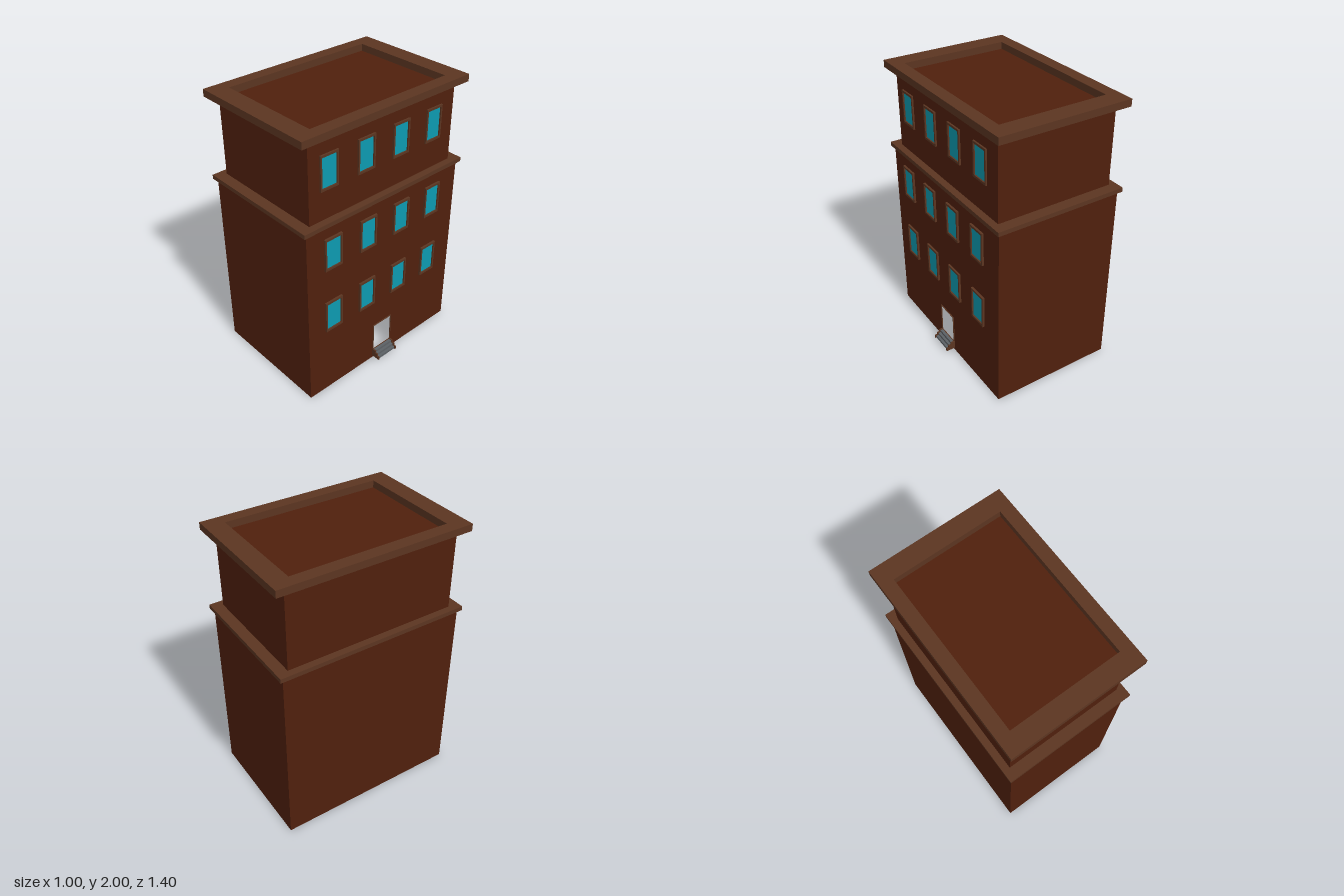
import * as THREE from 'three';

const mat = (name, color) => {
  const m = new THREE.MeshStandardMaterial({ color, side: THREE.DoubleSide });
  m.name = name;
  return m;
};

// Rectangle outline with an optional rectangular hole, each given as [u0, v0, u1, v1]
function rectShape(outer, hole) {
  const trace = (p, [a, b, c, d]) => p.moveTo(a, b).lineTo(c, b).lineTo(c, d).lineTo(a, d).closePath();
  const shape = trace(new THREE.Shape(), outer);
  if (hole) shape.holes.push(trace(new THREE.Path(), hole));
  return shape;
}
const extrude = (shape, depth) => new THREE.ExtrudeGeometry(shape, { depth, bevelEnabled: false });

export function createModel() {
  const group = new THREE.Group();
  const brick = mat('brick brown', 0x50200d);
  const trim = mat('trim brown', 0x5b3521);
  const glass = mat('window blue', 0x0d9ab0);
  const stone = mat('step grey', 0x5c6165);

  const add = (name, geo, material, x = 0, y = 0, z = 0, parent = group) => {
    const mesh = new THREE.Mesh(geo, material);
    mesh.name = name;
    mesh.position.set(x, y, z);
    parent.add(mesh);
    return mesh;
  };

  // Hollow storey without floor: four walls, the right one with an optional doorway
  function storey(name, x0, x1, hz, y0, y1, door) {
    const g = new THREE.Group();
    g.name = name;
    group.add(g);
    const w = x1 - x0, h = y1 - y0, cx = (x0 + x1) / 2, cy = (y0 + y1) / 2;
    add('frontWall', new THREE.PlaneGeometry(w, h), brick, cx, cy, hz, g);
    add('backWall', new THREE.PlaneGeometry(w, h).rotateY(Math.PI), brick, cx, cy, -hz, g);
    add('leftSideWall', new THREE.PlaneGeometry(2 * hz, h).rotateY(-Math.PI / 2), brick, x0, cy, 0, g);
    const wall = new THREE.ShapeGeometry(rectShape([-hz, y0, hz, y1], door));
    add('facadeWall', wall.rotateY(Math.PI / 2), brick, x1, 0, 0, g);
  }
  const doorway = [-0.083, 0.08, 0.083, 0.305];
  storey('lowerStoreys', -0.48, 0.43, 0.675, 0, 1.37, doorway);
  storey('upperStorey', -0.45, 0.40, 0.622, 1.37, 1.96);

  // Ledge, cornice and sunken roof
  const band = (name, inner, y0, y1) =>
    add(name, extrude(rectShape([-0.5, -0.7, 0.45, 0.7], inner), y1 - y0).rotateX(-Math.PI / 2), trim, 0, y0);
  band('ledge', [-0.449, -0.621, 0.399, 0.621], 1.36, 1.39);
  band('cornice', [-0.41, -0.567, 0.36, 0.567], 1.95, 2);
  add('roof', new THREE.PlaneGeometry(0.84, 1.23).rotateX(-Math.PI / 2), brick, -0.025, 1.946);

  // Windows: raised frame around a recessed pane
  const frameGeo = extrude(rectShape([-0.071, -0.12, 0.071, 0.12], [-0.059, -0.105, 0.059, 0.105]), 0.015)
    .rotateY(Math.PI / 2);
  const paneGeo = new THREE.PlaneGeometry(0.12, 0.212).rotateY(Math.PI / 2);
  for (const [x, y] of [[0.43, 0.65], [0.43, 1.15], [0.397, 1.716]]) {
    for (let i = 0; i < 4; i++) {
      const z = 0.465 - i * 0.3;
      add('windowFrame', frameGeo, trim, x, y, z);
      add('windowPane', paneGeo, glass, x + 0.005, y, z);
    }
  }

  // Thin door surround
  const surround = extrude(rectShape([-0.088, 0.08, 0.088, 0.309], doorway), 0.007);
  add('doorFrame', surround.rotateY(Math.PI / 2), trim, 0.43);

  // Entrance steps between stepped cheeks
  const cheek = new THREE.Shape();
  cheek.moveTo(0.43, 0.02).lineTo(0.5, 0.02).lineTo(0.5, 0.045).lineTo(0.483, 0.045).lineTo(0.483, 0.064)
    .lineTo(0.463, 0.064).lineTo(0.463, 0.082).lineTo(0.43, 0.082).closePath();
  const cheekGeo = extrude(cheek, 0.01);
  for (const z of [-0.09, 0.08]) add('stepCheek', cheekGeo, trim, 0, 0, z);
  for (let i = 0; i < 3; i++) {
    const depth = 0.062 - i * 0.018;
    add('step', new THREE.BoxGeometry(depth, 0.018, 0.16), stone, 0.43 + depth / 2, 0.03 + i * 0.019);
  }
  return group;
}
